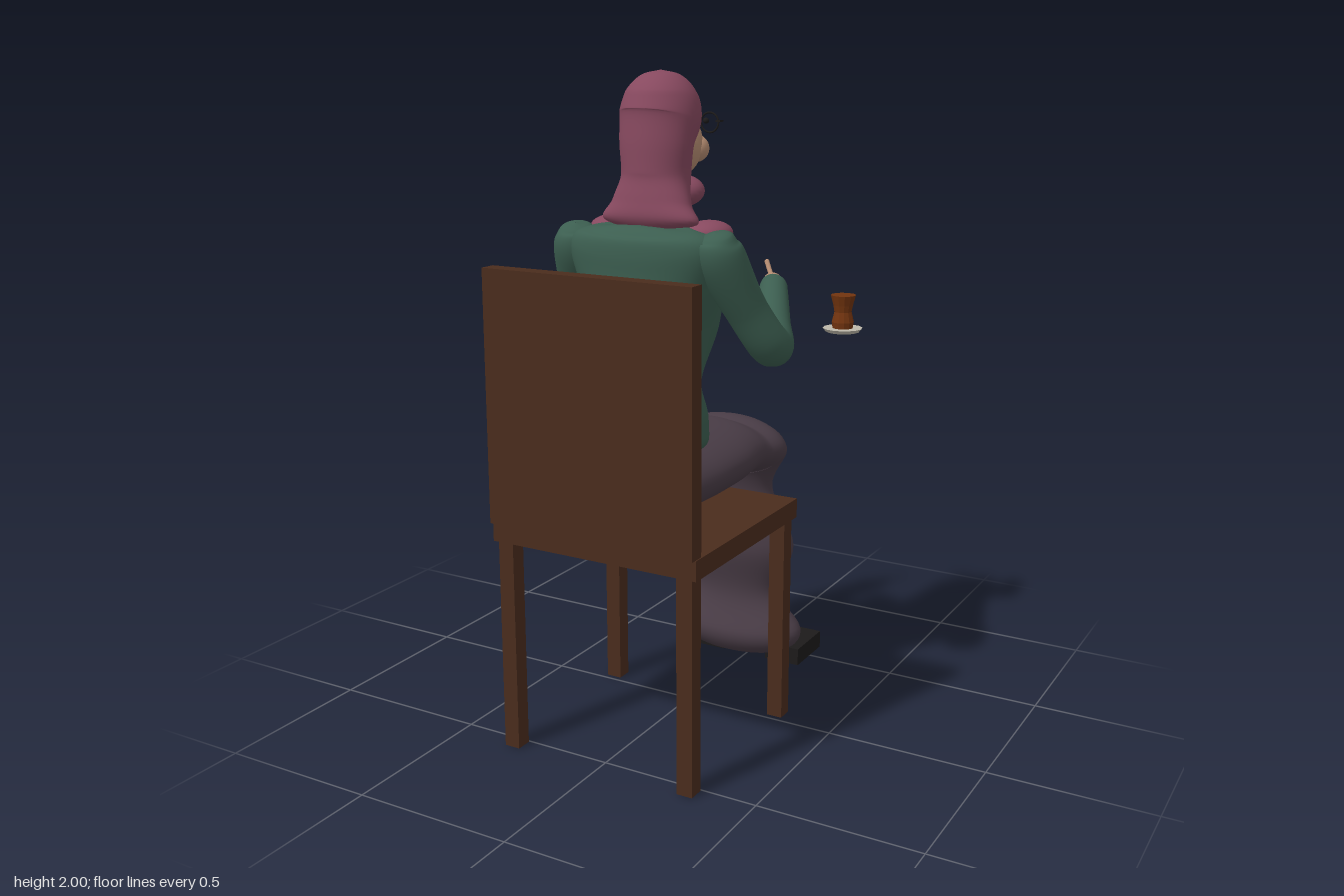
import * as THREE from 'three';

const V = (x, y, z) => new THREE.Vector3(x, y, z);
const mat = (color, extra = {}) => {
  const m = new THREE.MeshStandardMaterial({ color });
  return Object.assign(m, extra);
};
const M = {
  wood: mat(0x4a2c1d), hair: mat(0x87495f), wool: mat(0x3c5e50), trousers: mat(0x4a3d47),
  skin: mat(0xb68d72), black: mat(0x1c1a1a), collar: mat(0xa59a82),
  china: mat(0xbdb8aa, { flatShading: true }), tea: mat(0x72340f, { flatShading: true }),
};

// Smooth skin through rows of [x, y, z, half width, half depth]
function loft(rows, around = 36, perRow = 8) {
  const path = new THREE.CatmullRomCurve3(rows.map(r => V(r[0], r[1], r[2])), false, 'catmullrom', 0.5);
  const size = new THREE.CatmullRomCurve3(rows.map(r => V(r[3], r[4], 0)), false, 'catmullrom', 0.5);
  const n = (rows.length - 1) * perRow, pos = [], idx = [];
  for (let i = 0; i <= n; i++) {
    const c = path.getPoint(i / n), s = size.getPoint(i / n), t = path.getTangent(i / n);
    const side = V(1, 0, 0).addScaledVector(t, -t.x).normalize();
    const up = t.clone().cross(side);
    for (let j = 0; j < around; j++) {
      const a = j / around * Math.PI * 2;
      const p = c.clone()
        .addScaledVector(side, Math.cos(a) * Math.max(s.x, 0.001))
        .addScaledVector(up, Math.sin(a) * Math.max(s.y, 0.001));
      pos.push(p.x, p.y, p.z);
      if (i < n) {
        const A = i * around + j, B = i * around + (j + 1) % around;
        idx.push(A, B, A + around, B, B + around, A + around);
      }
    }
  }
  const g = new THREE.BufferGeometry();
  g.setAttribute('position', new THREE.Float32BufferAttribute(pos, 3));
  g.setIndex(idx);
  g.computeVertexNormals();
  return g;
}

export function createModel() {
  const model = new THREE.Group();
  model.name = 'seatedPerson';

  const add = (parent, name, geometry, material, x = 0, y = 0, z = 0) => {
    const m = new THREE.Mesh(geometry, material);
    m.name = name;
    m.position.set(x, y, z);
    parent.add(m);
    return m;
  };
  const group = name => {
    const g = new THREE.Group();
    g.name = name;
    model.add(g);
    return g;
  };
  const box = (parent, name, material, x0, x1, y0, y1, z0, z1) =>
    add(parent, name, new THREE.BoxGeometry(x1 - x0, y1 - y0, z1 - z0), material,
      (x0 + x1) / 2, (y0 + y1) / 2, (z0 + z1) / 2);
  const blob = (parent, name, material, x, y, z, rx, ry = rx, rz = rx) =>
    add(parent, name, new THREE.SphereGeometry(1, 28, 18), material, x, y, z).scale.set(rx, ry, rz);

  // Chair
  const chair = group('chair');
  box(chair, 'seat', M.wood, -0.34, 0.34, 0.655, 0.715, -0.075, 0.56);
  box(chair, 'backrest', M.wood, -0.337, 0.337, 0.715, 1.465, 0.525, 0.577);
  for (const x of [-0.3, 0.3])
    for (const z of [-0.045, 0.53])
      box(chair, z > 0 ? 'backLeg' : 'frontLeg', M.wood, x - 0.025, x + 0.025, 0, 0.655, z - 0.025, z + 0.025);

  // Trousers: one skin from hips over the knees to the cuffs
  const body = group('body');
  add(body, 'trousers', loft([
    [0, 0.83, 0.44, 0, 0], [0, 0.83, 0.42, 0.13, 0.065], [0, 0.83, 0.34, 0.2, 0.107],
    [0, 0.83, 0.2, 0.225, 0.108], [0, 0.828, 0.02, 0.222, 0.106], [0, 0.825, -0.11, 0.203, 0.1],
    [0, 0.81, -0.19, 0.195, 0.087], [0, 0.785, -0.285, 0.2, 0.1], [0, 0.65, -0.312, 0.135, 0.07],
    [0, 0.45, -0.333, 0.205, 0.1], [0, 0.28, -0.335, 0.145, 0.068], [0, 0.15, -0.345, 0.23, 0.115],
    [0, 0.075, -0.345, 0.17, 0.085], [0, 0.05, -0.345, 0, 0],
  ], 48), M.trousers);

  // Sweater
  add(body, 'sweater', loft([
    [0, 0.9, 0.245, 0, 0], [0, 0.92, 0.245, 0.165, 0.145], [0, 1.0, 0.24, 0.185, 0.152],
    [0, 1.13, 0.242, 0.165, 0.13], [0, 1.3, 0.203, 0.195, 0.19], [0, 1.42, 0.225, 0.225, 0.162],
    [0, 1.52, 0.27, 0.235, 0.112], [0, 1.56, 0.28, 0.17, 0.075], [0, 1.572, 0.28, 0, 0],
  ], 48), M.wool);
  [[1.47, -0.01], [1.36, -0.045], [1.25, -0.07]].forEach(([y, z]) =>
    blob(body, 'button', M.black, 0.045, y, z, 0.011));

  // Arms, hands and shoes
  for (const s of [-1, 1]) {
    add(body, 'sleeve', loft([
      [0.23, 1.565, 0.262, 0], [0.232, 1.548, 0.257, 0.05], [0.237, 1.49, 0.24, 0.073],
      [0.28, 1.34, 0.165, 0.062], [0.322, 1.22, 0.08, 0.062], [0.27, 1.262, -0.03, 0.054],
      [0.212, 1.335, -0.15, 0.045], [0.2, 1.352, -0.185, 0.036], [0.198, 1.356, -0.197, 0],
    ].map(([x, y, z, r]) => [s * x, y, z, r, r]), 28), M.wool);
    blob(body, 'hand', M.skin, s * 0.178, 1.362, -0.212, 0.026, 0.021, 0.03);
    const finger = new THREE.CatmullRomCurve3([
      V(s * 0.175, 1.365, -0.22), V(s * 0.155, 1.38, -0.242), V(s * 0.135, 1.408, -0.26)]);
    add(body, 'finger', new THREE.TubeGeometry(finger, 10, 0.008, 8), M.skin);
    blob(body, 'fingertip', M.skin, s * 0.135, 1.408, -0.26, 0.008);
    box(body, 'shoe', M.black, s * 0.1425 - 0.0625, s * 0.1425 + 0.0625, 0.004, 0.062, -0.577, -0.395);
  }

  // Neck and collar
  const head = group('head');
  add(head, 'neck', new THREE.CylinderGeometry(0.062, 0.045, 0.2, 28), M.skin, 0, 1.6, 0.13);
  const collar = add(head, 'collar', new THREE.TorusGeometry(0.063, 0.014, 12, 36), M.collar, 0, 1.588, 0.13);
  collar.rotation.x = Math.PI / 2 + 0.08;

  // Face
  blob(head, 'face', M.skin, 0, 1.79, 0.09, 0.086, 0.1, 0.088);
  blob(head, 'nose', M.skin, 0, 1.81, -0.035, 0.014, 0.025, 0.014);
  blob(head, 'mouth', M.hair, 0, 1.765, -0.033, 0.02, 0.005, 0.005);
  for (const s of [-1, 1]) {
    blob(head, 'cheek', M.skin, s * 0.052, 1.775, 0.05, 0.04);
    blob(head, 'eye', M.black, s * 0.042, 1.85, -0.03, 0.009);
    add(head, 'lens', new THREE.TorusGeometry(0.029, 0.003, 8, 28), M.black, s * 0.05, 1.845, -0.038);
    box(head, 'templeArm', M.black, s * 0.087 - 0.008, s * 0.087 + 0.008, 1.848, 1.853, -0.04, -0.02);
  }
  box(head, 'bridge', M.black, -0.022, 0.022, 1.848, 1.853, -0.041, -0.036);

  // Hair falling to the shoulders, with rolls at the chin and on each shoulder
  add(head, 'hair', loft([
    [0, 2.0, 0.16, 0, 0], [0, 1.985, 0.16, 0.057, 0.058], [0, 1.94, 0.16, 0.1, 0.104],
    [0, 1.875, 0.162, 0.117, 0.12], [0, 1.8, 0.185, 0.112, 0.092], [0, 1.7, 0.19, 0.105, 0.086],
    [0, 1.63, 0.213, 0.126, 0.072], [0, 1.575, 0.225, 0.15, 0.06], [0, 1.55, 0.225, 0, 0],
  ], 40), M.hair);
  blob(head, 'chinRoll', M.hair, 0, 1.652, 0.066, 0.085, 0.05, 0.064);
  for (const s of [-1, 1])
    blob(head, 'shoulderRoll', M.hair, s * 0.16, 1.548, 0.165, 0.068, 0.036, 0.075);

  // Tea glass on a saucer
  const tea = group('teaGlass');
  const turned = (name, pts, material, sides) =>
    add(tea, name, new THREE.LatheGeometry(pts.map(p => new THREE.Vector2(...p)), sides), material, 0.3, 0, -0.485);
  turned('saucer', [[0, 1.163], [0.055, 1.163], [0.065, 1.175], [0, 1.175]], M.china, 12);
  turned('glass', [[0, 1.175], [0.033, 1.175], [0.036, 1.195], [0.028, 1.228], [0.032, 1.25],
    [0.041, 1.283], [0, 1.283]], M.tea, 12);

  return model;
}
